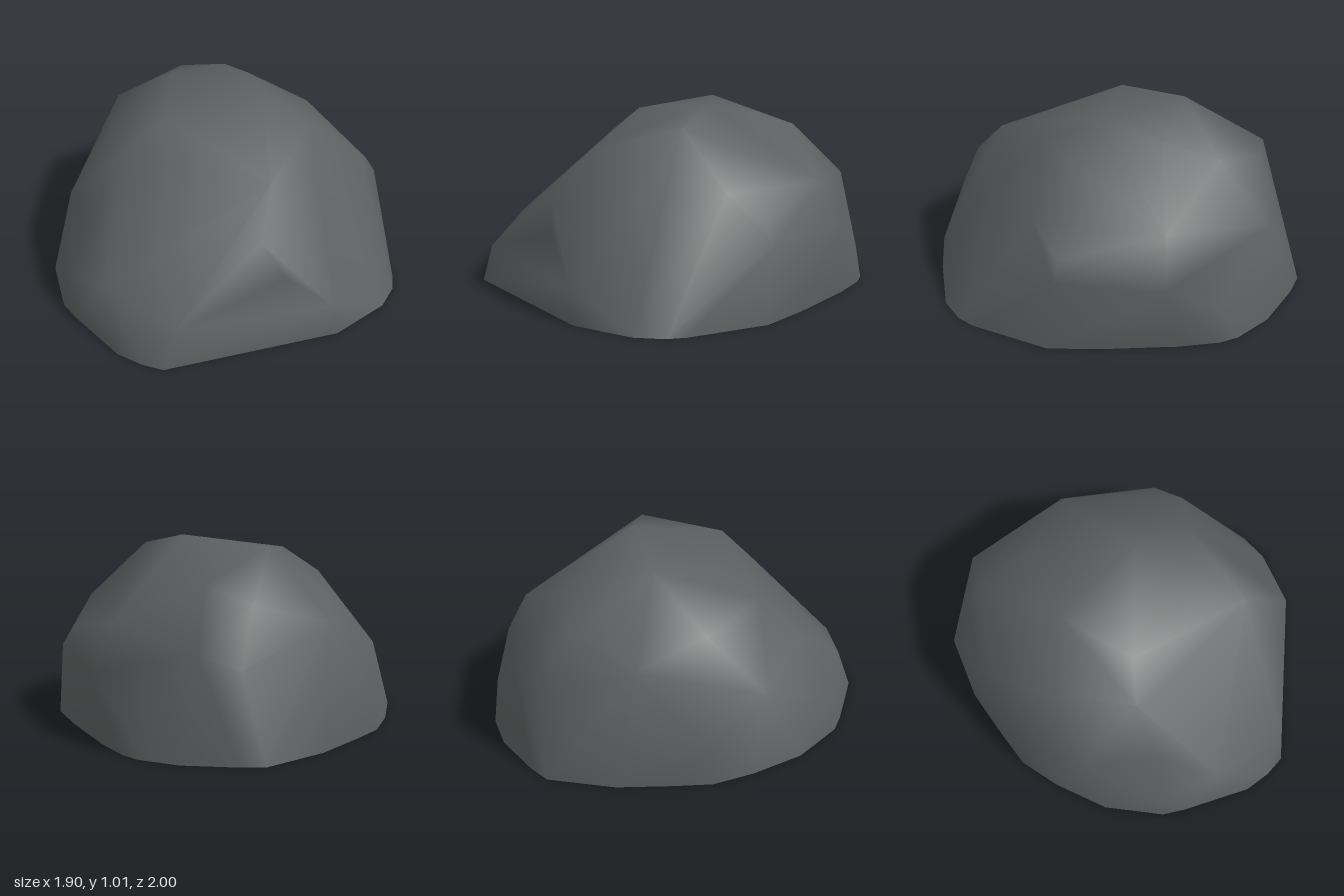
import * as THREE from 'three';
import { ConvexGeometry } from 'three/addons/geometries/ConvexGeometry.js';
import { mergeVertices } from 'three/addons/utils/BufferGeometryUtils.js';

// Footprint of the boulder (x, z), running from the back round by +x
const outline = [
  [0.10, -1.0], [0.23, -0.97], [0.51, -0.86], [0.69, -0.72], [0.75, -0.63],
  [0.82, -0.42], [0.91, -0.02], [0.95, 0.25], [0.83, 0.68], [0.78, 0.77],
  [0.66, 0.88], [0.33, 1.0], [-0.62, 0.94], [-0.71, 0.86], [-0.80, 0.74],
  [-0.92, 0.38], [-0.95, 0.25], [-0.91, -0.08], [-0.78, -0.36],
  [-0.65, -0.56], [-0.48, -0.69], [-0.24, -0.86],
];

// Corners of the rock above the ground (x, y, z)
const crown = [[0.27, 1.01, 0.07], [-0.11, 0.98, -0.31], [0.42, 0.93, 0.37],
  [-0.31, 0.92, 0.07], [0.32, 0.93, -0.25], [0.30, 0.84, -0.55]];
const front = [[0.06, 0.80, 0.68], [-0.05, 0.58, 0.86], [0.05, 0.40, 0.93],
  [0.30, 0.18, 0.985], [-0.55, 0.21, 0.92]];
const back = [[0.10, 0.77, -0.75], [0.20, 0.46, -0.88], [0.41, 0.54, -0.84],
  [-0.30, 0.65, -0.74], [-0.62, 0.24, -0.57], [0.74, 0.20, -0.62]];
const leftSide = [[0.74, 0.65, 0.35], [0.74, 0.62, -0.33], [0.87, 0.50, 0.20],
  [0.87, 0.37, -0.35], [0.93, 0.40, 0.20]];
const rightSide = [[-0.53, 0.77, 0.09], [-0.74, 0.53, 0.22], [-0.80, 0.31, 0.55],
  [-0.92, 0.20, 0.20], [-0.47, 0.71, -0.33], [-0.76, 0.40, -0.20]];

// Hull around all corners, without the faces lying on the ground, smoothly shaded
function makeRockGeometry() {
  const points = [...crown, ...front, ...back, ...leftSide, ...rightSide]
    .map((p) => new THREE.Vector3(...p));
  for (const [x, z] of outline) points.push(new THREE.Vector3(x, 0, z));
  const hull = new ConvexGeometry(points).getAttribute('position');
  const kept = [];
  for (let i = 0; i < hull.count; i += 3) {
    const top = Math.max(hull.getY(i), hull.getY(i + 1), hull.getY(i + 2));
    if (top < 0.001) continue;
    for (let k = i; k < i + 3; k++) kept.push(hull.getX(k), hull.getY(k), hull.getZ(k));
  }
  const open = new THREE.BufferGeometry();
  open.setAttribute('position', new THREE.Float32BufferAttribute(kept, 3));
  const smooth = mergeVertices(open);
  smooth.computeVertexNormals();
  return smooth;
}

export function createModel() {
  const group = new THREE.Group();
  group.name = 'boulder';
  const stone = new THREE.MeshStandardMaterial({ color: 0x5b5f5f });
  stone.name = 'dark grey stone';

  // Rounded rock surface
  const rock = new THREE.Mesh(makeRockGeometry(), stone);
  rock.name = 'rockSurface';

  // Flat underside, turned to face down
  const footprint = new THREE.Shape(outline.map(([x, z]) => new THREE.Vector2(x, z)));
  const base = new THREE.Mesh(new THREE.ShapeGeometry(footprint).rotateX(Math.PI / 2), stone);
  base.name = 'underside';

  group.add(rock, base);
  return group;
}
